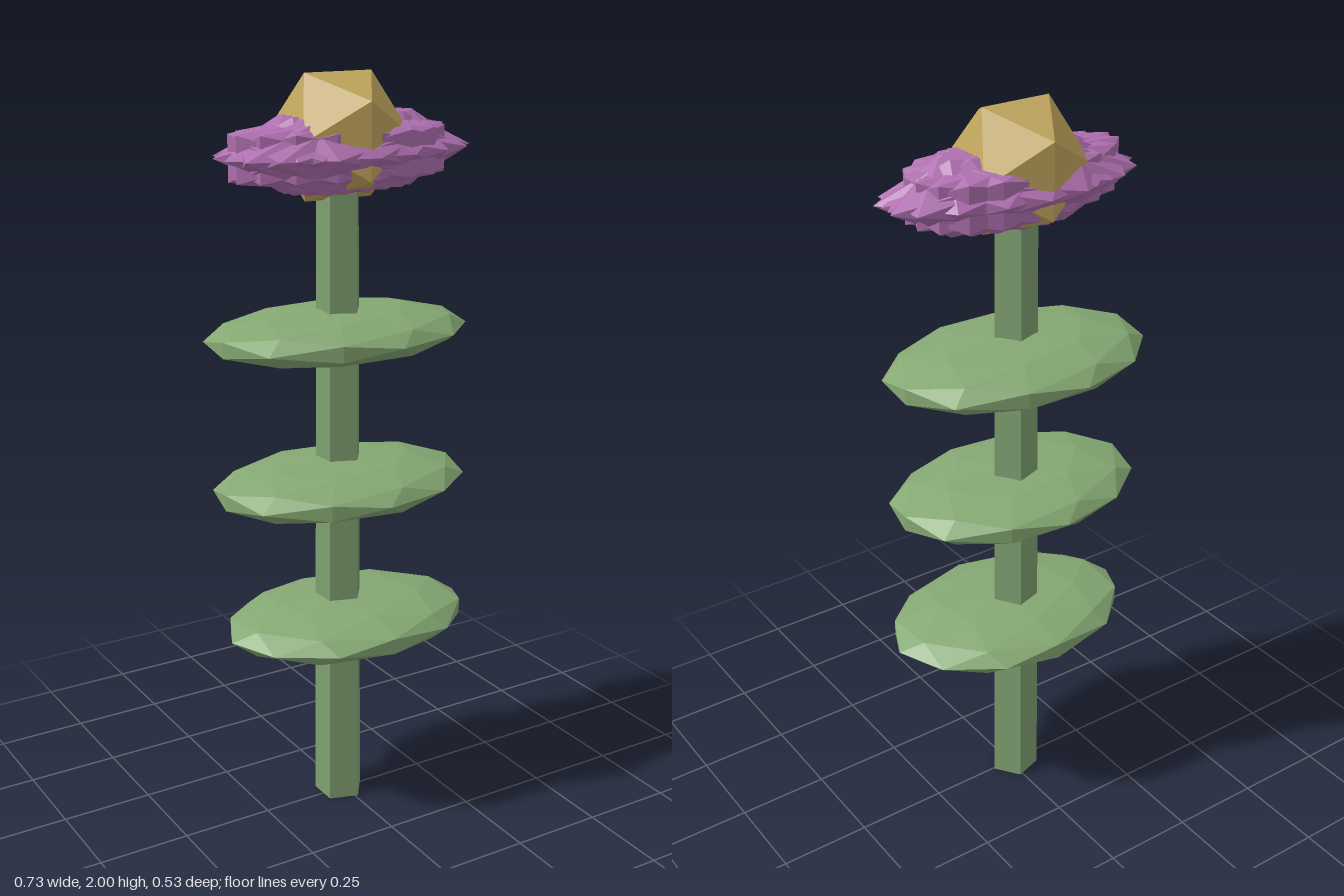
import * as THREE from 'three';

const rad = THREE.MathUtils.degToRad;
const flat = (color) => new THREE.MeshStandardMaterial({ color, flatShading: true });

// Faceted ball, turned about y and then squashed to the given radii.
function squashedBall(name, detail, turn, radii, position, material) {
  const geometry = new THREE.IcosahedronGeometry(1, detail);
  geometry.rotateY(rad(turn)).scale(...radii);
  const mesh = new THREE.Mesh(geometry, material);
  mesh.name = name;
  mesh.position.set(...position);
  return mesh;
}

export function createModel() {
  const model = new THREE.Group();
  model.name = 'flower';
  const stemMaterial = flat(0x7f9f70);
  const leafMaterial = flat(0x85a873);
  const petalMaterial = flat(0xb070b0);
  const coreMaterial = flat(0xc0a55c);

  // Five-sided tapering stem, one edge facing +x
  const stem = new THREE.Mesh(new THREE.CylinderGeometry(0.058, 0.069, 1.8, 5), stemMaterial);
  stem.name = 'stem';
  stem.rotation.y = rad(90);
  stem.position.set(-0.013, 0.9, -0.004);
  model.add(stem);

  // Three flat leaf pads threaded on the stem
  const leaves = [
    { turn: 32, radii: [0.355, 0.068, 0.255], position: [0, 0.542, 0.012] },
    { turn: -58, radii: [0.36, 0.068, 0.25], position: [-0.022, 0.938, 0.015] },
    { turn: -51, radii: [0.372, 0.068, 0.248], position: [-0.008, 1.338, -0.02] },
  ];
  for (const { turn, radii, position } of leaves) {
    model.add(squashedBall('leaf', 1, turn, radii, position, leafMaterial));
  }

  // Spiky blossom: overlapping petals fanned around the stem top
  const petals = new THREE.Group();
  petals.name = 'petals';
  const count = 9;
  for (let i = 0; i < count; i++) {
    const a = (i / count) * Math.PI * 2;
    const position = [0.016 * Math.cos(a), 1.805, -0.006 + 0.008 * Math.sin(a)];
    petals.add(squashedBall('petal', 0, i * 20, [0.357, 0.112, 0.167], position, petalMaterial));
  }
  model.add(petals);

  // Faceted flower centre
  model.add(squashedBall('flowerCentre', 0, 0, [0.185, 0.185, 0.185], [-0.013, 1.843, -0.008], coreMaterial));
  return model;
}
